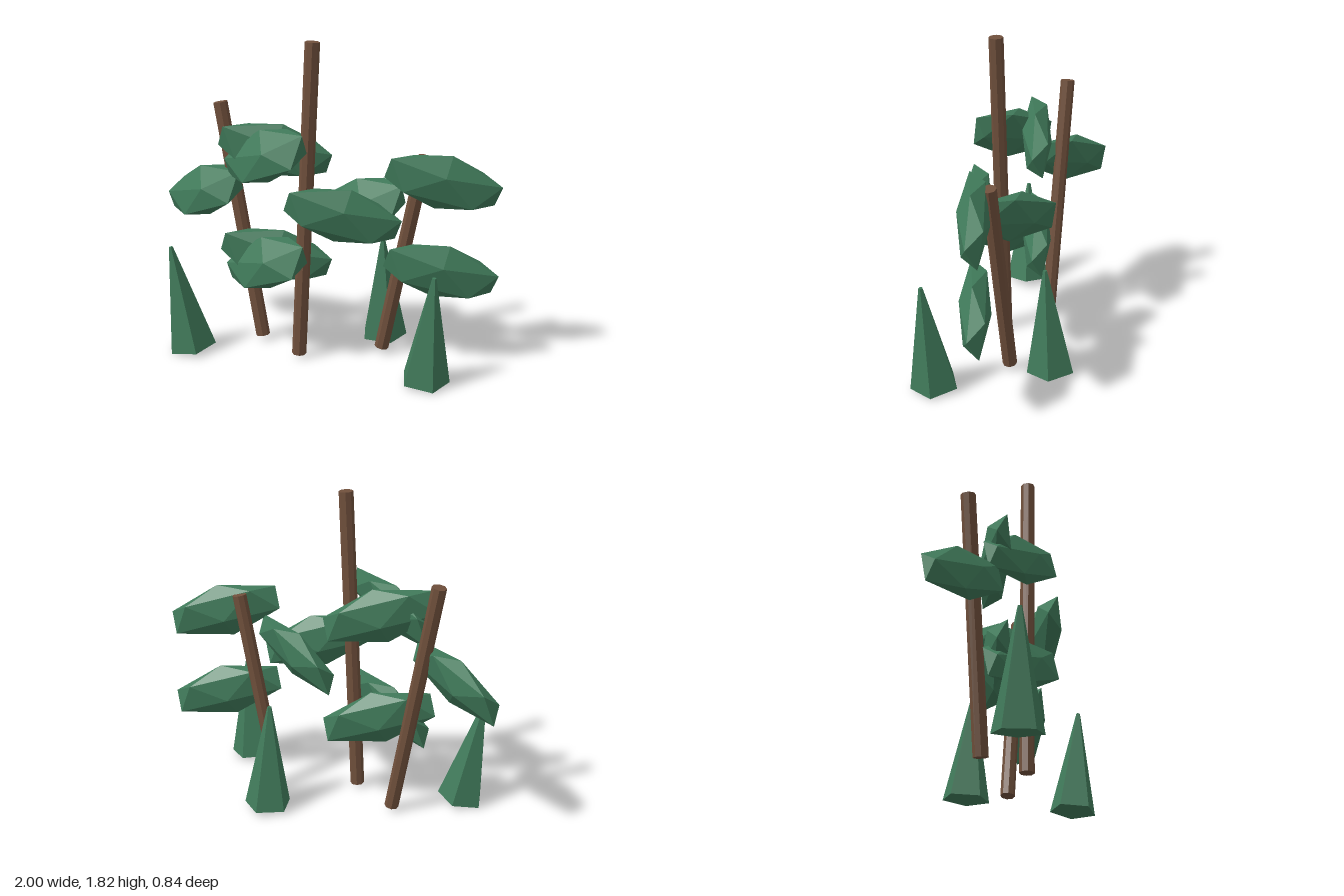
import * as THREE from 'three';

export function createModel() {
  const model = new THREE.Group();
  const bark = new THREE.MeshStandardMaterial({ color: 0x70503c });
  bark.name = 'bark brown';
  const foliage = new THREE.MeshStandardMaterial({ color: 0x407a5a });
  foliage.name = 'foliage green';

  const V = (p) => new THREE.Vector3(...p);

  function add(name, geometry, material, position) {
    const mesh = new THREE.Mesh(geometry, material);
    mesh.name = name;
    mesh.position.copy(position);
    model.add(mesh);
    return mesh;
  }

  // Flat-sided tapered rod between two points
  function rod(name, from, to, topRadius, bottomRadius, sides, turn, material) {
    const a = V(from), b = V(to);
    const axis = b.clone().sub(a);
    const geometry = new THREE.CylinderGeometry(topRadius, bottomRadius, axis.length(), sides)
      .rotateY(turn).toNonIndexed();
    geometry.computeVertexNormals();
    const mesh = add(name, geometry, material, a.add(b).multiplyScalar(0.5));
    mesh.quaternion.setFromUnitVectors(new THREE.Vector3(0, 1, 0), axis.normalize());
  }

  // Stretched, skewed icosahedron: one of its faces is carried to three given corners
  function clumpGeometry(corners) {
    const basis = (points) => new THREE.Matrix4().makeBasis(...points.map(V));
    const g = (1 + Math.sqrt(5)) / 2, s = 1 / Math.hypot(1, g);
    const face = basis([[g * s, 0, s], [g * s, 0, -s], [s, g * s, 0]]);
    const geometry = new THREE.IcosahedronGeometry(1, 0);
    geometry.applyMatrix4(basis(corners).multiply(face.invert()));
    geometry.computeVertexNormals();
    return geometry;
  }

  // Three leaning trunks
  [
    [[-0.375, 0.03, 0.018], [-0.62, 1.425, 0.018]],
    [[-0.075, 0.025, 0.173], [0.012, 1.825, 0.173]],
    [[0.345, 0.04, -0.06], [0.575, 1.2, -0.06]],
  ].forEach(([from, to]) => rod('trunk', from, to, 0.041, 0.041, 8, Math.PI / 8, bark));

  // Three five-sided saplings on the ground
  [
    [[-0.693, 0.023, 0.308], [-0.79, 0.635, 0.35]],
    [[0.693, 0.02, 0.23], [0.742, 0.635, 0.268]],
    [[0.28, 0.02, -0.285], [0.28, 0.635, -0.245]],
  ].forEach(([from, to]) => rod('sapling', from, to, 0.012, 0.138, 5, Math.PI, foliage));

  // Foliage clumps that sink towards the left, and ones that rise towards it
  const sinking = clumpGeometry([[0.302, -0.027, -0.108], [0.25, -0.144, -0.15], [0.18, 0.035, -0.15]]);
  const rising = clumpGeometry([[0.267, 0.16, 0.1], [0.22, -0.02, 0.145], [0.273, 0.053, 0.05]]);
  [
    [0.693, 1.075, -0.03], [0.693, 0.563, -0.03], [0.2, 0.895, 0.205],
    [-0.265, 1.185, 0.055], [-0.265, 0.563, 0.055],
  ].forEach((p) => add('foliageClump', sinking, foliage, V(p)));
  [
    [-0.727, 0.895, 0.035], [0.22, 0.895, -0.04],
    [-0.262, 1.185, 0.205], [-0.262, 0.563, 0.205],
  ].forEach((p) => add('foliageClump', rising, foliage, V(p)));

  return model;
}
